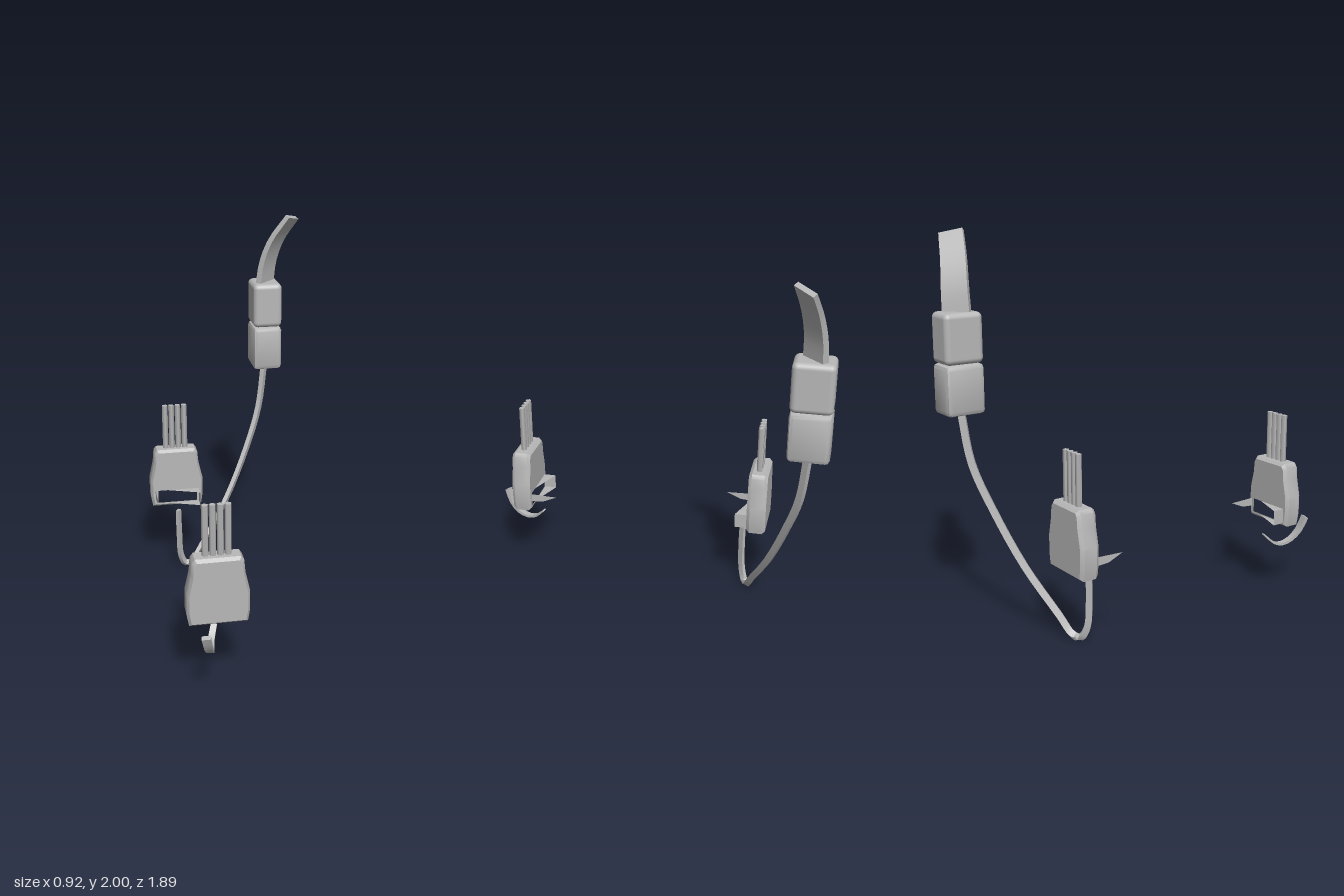
import * as THREE from 'three';
import { toCreasedNormals } from 'three/addons/utils/BufferGeometryUtils.js';
import { RoundedBoxGeometry } from 'three/addons/geometries/RoundedBoxGeometry.js';

const V = (x, y, z) => new THREE.Vector3(x, y, z);

// Skin over matching rings of points, with optional fan caps
function loft(rings, capStart, capEnd, crease = 0.6) {
  const out = [];
  const tri = (...ps) => ps.forEach((p) => out.push(p.x, p.y, p.z));
  const n = rings[0].length;
  for (let i = 0; i < rings.length - 1; i++) {
    for (let j = 0; j < n; j++) {
      const k = (j + 1) % n;
      const [a, b, c, d] = [rings[i][j], rings[i][k], rings[i + 1][k], rings[i + 1][j]];
      tri(a, b, c);
      tri(a, c, d);
    }
  }
  const centre = (r) => r.reduce((s, p) => s.add(p), V(0, 0, 0)).divideScalar(n);
  const last = rings[rings.length - 1];
  for (let j = 0; j < n; j++) {
    const k = (j + 1) % n;
    if (capStart) tri(centre(rings[0]), rings[0][k], rings[0][j]);
    if (capEnd) tri(centre(last), last[j], last[k]);
  }
  const g = new THREE.BufferGeometry();
  g.setAttribute('position', new THREE.Float32BufferAttribute(out, 3));
  return toCreasedNormals(g, crease);
}

// Flat strap along a curve; width and thickness run from start to end values
function strap(points, across, widths, thicks, steps) {
  const curve = new THREE.CatmullRomCurve3(points.map((p) => V(...p)));
  const rings = [];
  for (let i = 0; i <= steps; i++) {
    const u = i / steps;
    const p = curve.getPoint(u);
    const t = curve.getTangent(u);
    const s = V(...across);
    s.addScaledVector(t, -s.dot(t)).normalize();
    const n = t.clone().cross(s);
    const w = THREE.MathUtils.lerp(...widths, u) / 2;
    const h = THREE.MathUtils.lerp(...thicks, u) / 2;
    rings.push([[1, 1], [-1, 1], [-1, -1], [1, -1]].map(([a, b]) =>
      p.clone().addScaledVector(s, a * w).addScaledVector(n, b * h)));
  }
  return loft(rings, true, true);
}

// Thin single-sheet polygon
function sheet(points) {
  const out = [];
  for (let i = 1; i < points.length - 1; i++) out.push(...points[0], ...points[i], ...points[i + 1]);
  const g = new THREE.BufferGeometry();
  g.setAttribute('position', new THREE.Float32BufferAttribute(out, 3));
  g.computeVertexNormals();
  return g;
}

export function createModel() {
  const model = new THREE.Group();
  const grey = new THREE.MeshStandardMaterial({ color: 0xb8b8b8 });
  grey.name = 'grey plastic';
  const thinGrey = grey.clone();
  thinGrey.side = THREE.DoubleSide;
  const add = (parent, name, geometry, material = grey) => {
    const m = new THREE.Mesh(geometry, material);
    m.name = name;
    parent.add(m);
    return m;
  };

  // Plug with four wires; the latch opening faces local +z
  const half = [[0.14, 0.39], [0.15, 0.45], [0.15, 0.55], [0.128, 0.65], [0.122, 0.715], [0.108, 0.735]];
  const outline = [...half, ...half.map(([x, y]) => [-x, y]).reverse()];
  const midY = 0.56;
  const inset = (s) => outline.map(([x, y]) => [x * s, midY + (y - midY) * s]);
  function connector(name, x, z, turn) {
    const g = new THREE.Group();
    g.name = name;
    g.position.set(x, 0, z);
    g.rotation.y = turn;
    const layers = [[-0.052, 0.92], [-0.035, 1], [0.035, 1], [0.052, 0.92]];
    add(g, 'plugBody', loft(layers.map(([d, s]) => inset(s).map(([a, b]) => V(a, b, d))), true, false));

    // Latch face with its rectangular opening
    const face = new THREE.Shape(inset(0.92).map(([a, b]) => new THREE.Vector2(a, b)));
    face.holes.push(new THREE.Path([[-0.11, 0.415], [-0.11, 0.49], [0.115, 0.49], [0.115, 0.415]]
      .map(([a, b]) => new THREE.Vector2(a, b))));
    add(g, 'latchFace', new THREE.ShapeGeometry(face).translate(0, 0, 0.052));

    // Latch end wall, corner webs and prong
    add(g, 'latchEnd', sheet([[0.125, 0.41, 0.05], [0.125, 0.41, 0.118], [0.125, 0.49, 0.118], [0.125, 0.49, 0.05]]), thinGrey);
    for (const y of [0.41, 0.49]) {
      add(g, 'latchWeb', sheet([[-0.06, y, 0.05], [0.125, y, 0.118], [0.125, y, 0.05]]), thinGrey);
    }
    add(g, 'latchProng', sheet([[-0.125, 0.445, 0.05], [-0.125, 0.45, 0.12], [-0.125, 0.485, 0.2], [-0.125, 0.49, 0.05]]), thinGrey);

    // Wires
    for (let i = 0; i < 4; i++) {
      const wire = add(g, 'wire', new THREE.CylinderGeometry(0.017, 0.017, 0.27, 5));
      wire.position.set((i - 1.5) * 0.036, 0.855, 0);
    }
    model.add(g);
  }
  connector('backConnector', -0.31, -0.556, 0);
  connector('frontConnector', -0.282, 0.775, Math.PI);

  // Short curled strap below the front connector
  add(model, 'curledStrap', strap([
    [-0.36, 0.395, 0.935], [-0.345, 0.32, 0.905], [-0.33, 0.27, 0.855],
    [-0.32, 0.253, 0.8], [-0.31, 0.265, 0.75], [-0.287, 0.318, 0.695],
  ], [1, 0, 0.2], [0.042, 0.03], [0.022, 0.008], 10));

  // Long strap from the back connector up to the coupling
  add(model, 'longStrap', strap([
    [-0.31, 0.375, -0.47], [-0.308, 0.22, -0.468], [-0.3, 0.08, -0.475], [-0.27, 0.018, -0.495],
    [-0.23, 0.022, -0.515], [-0.16, 0.11, -0.55], [0, 0.34, -0.65], [0.14, 0.62, -0.745],
    [0.225, 0.85, -0.81], [0.265, 1.12, -0.84],
  ], [0.6, 0, -0.8], [0.032, 0.036], [0.018, 0.026], 36));

  // Two-piece coupling
  const lower = add(model, 'couplingLower', toCreasedNormals(new RoundedBoxGeometry(0.165, 0.252, 0.205, 1, 0.022), 0.5));
  lower.position.set(0.267, 1.231, -0.842);
  const upper = add(model, 'couplingUpper', new RoundedBoxGeometry(0.165, 0.252, 0.205, 3, 0.028));
  upper.position.set(0.267, 1.484, -0.842);

  // Broad flat cable out of the top
  add(model, 'flatCable', strap([
    [0.265, 1.59, -0.842], [0.282, 1.72, -0.838], [0.325, 1.85, -0.818], [0.41, 1.982, -0.785],
  ], [0.69, -0.08, -0.72], [0.138, 0.122], [0.036, 0.026], 8));

  return model;
}
